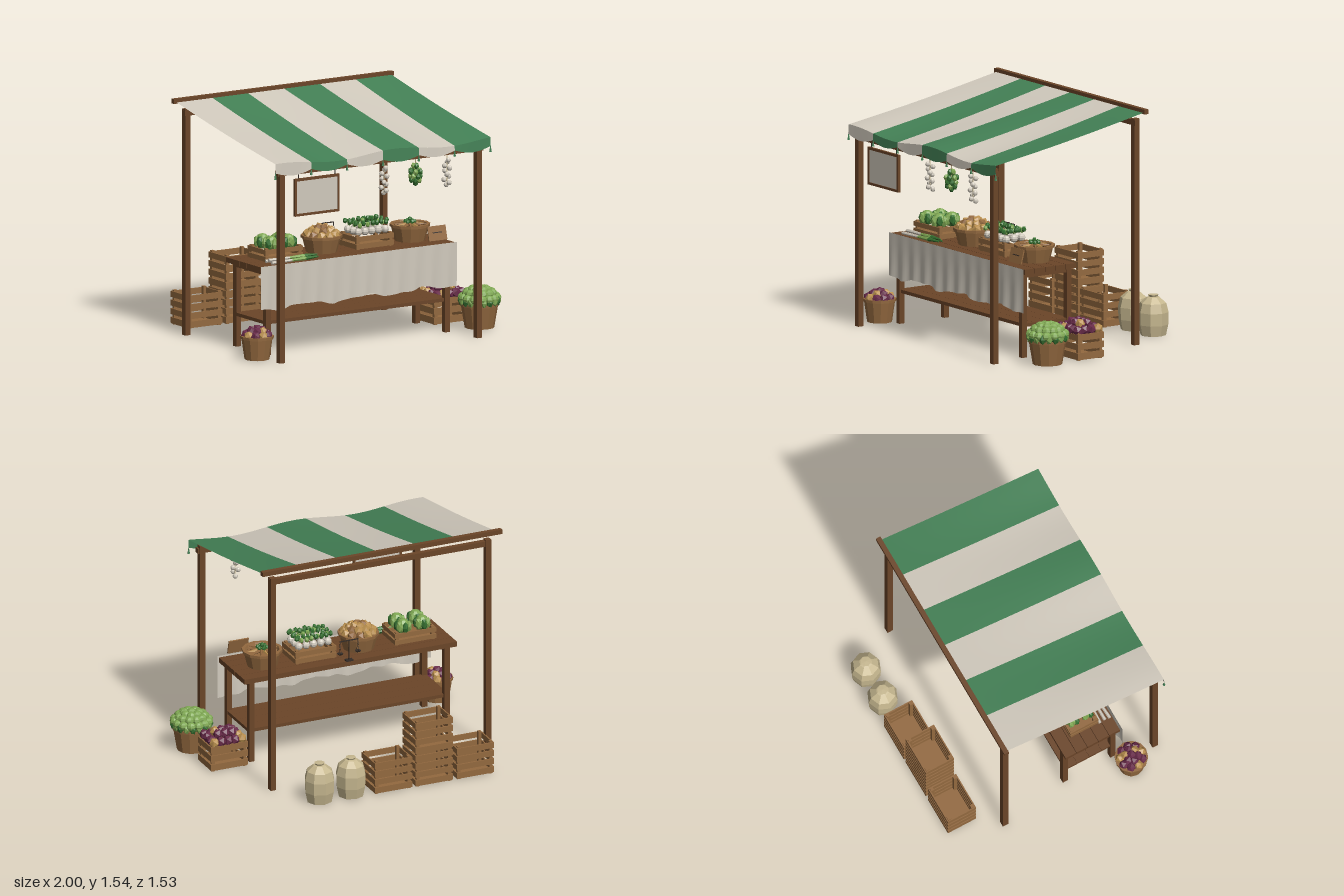
import * as THREE from 'three';

const mat = (name, color, side = THREE.FrontSide) => Object.assign(new THREE.MeshStandardMaterial({ color, side }), { name });

export function createModel() {
  const darkWood = mat('dark wood', 0x6b4528), lightWood = mat('light wood', 0x93693f);
  const cream = mat('cream cloth', 0xd0c9bc, THREE.DoubleSide), green = mat('awning green', 0x438055, THREE.DoubleSide);
  const burlap = mat('burlap', 0xc6b78f), leaf = mat('light leaf', 0x7fa853), deepLeaf = mat('deep leaf', 0x356f30);
  const purple = mat('beet purple', 0x672a48), potato = mat('potato', 0xb98f4e), metal = mat('dark metal', 0x332b26);

  const root = new THREE.Group();
  root.name = 'marketStall';
  let seed = 7;
  const rnd = () => (seed = (seed * 16807) % 2147483647) / 2147483647;

  // Faceted normals
  const flat = g => { const f = g.index ? g.toNonIndexed() : g; f.computeVertexNormals(); return f; };
  const add = (p, name, g, m, x = 0, y = 0, z = 0) => {
    const o = new THREE.Mesh(g, m);
    o.name = name;
    o.position.set(x, y, z);
    p.add(o);
    return o;
  };
  const box = (p, name, m, w, h, d, x, y, z) => add(p, name, new THREE.BoxGeometry(w, h, d), m, x, y, z);
  const group = (name, x, y, z, p = root) => {
    const g = new THREE.Group();
    g.name = name;
    g.position.set(x, y, z);
    p.add(g);
    return g;
  };
  const lathe = (pts, n) => flat(new THREE.LatheGeometry(pts.map(a => new THREE.Vector2(...a)), n));
  // Sheet of cloth whose points follow a rule of u and v
  const sheet = (p, name, m, nu, nv, rule) => {
    const g = new THREE.PlaneGeometry(1, 1, nu, nv), a = g.attributes.position, t = g.attributes.uv;
    for (let i = 0; i < a.count; i++) a.setXYZ(i, ...rule(t.getX(i), t.getY(i)));
    g.computeVertexNormals();
    return add(p, name, g, m);
  };

  const lump = new THREE.IcosahedronGeometry(1, 0), round = flat(new THREE.SphereGeometry(1, 8, 6));
  const spike = flat(new THREE.ConeGeometry(1, 1, 5));
  const blob = (p, name, g, m, s, x, y, z, sy = s) => {
    const o = add(p, name, g, m, x, y, z);
    o.scale.set(s, sy, s);
    o.rotation.y = rnd() * 6;
    return o;
  };

  // Frame of posts and beams
  const frame = group('frame', 0, 0, 0);
  for (const x of [-0.845, 0.663]) {
    box(frame, 'frontPost', darkWood, 0.038, 1.27, 0.04, x, 0.635, 0.71);
    box(frame, 'backPost', darkWood, 0.038, 1.473, 0.04, x, 0.7365, -0.386);
  }
  box(frame, 'frontBeam', darkWood, 1.57, 0.034, 0.034, -0.091, 1.235, 0.71);
  box(frame, 'backBeam', darkWood, 1.55, 0.036, 0.034, -0.091, 1.447, -0.386);
  box(frame, 'ridgeBar', darkWood, 1.68, 0.03, 0.032, -0.09, 1.525, -0.415);

  // Striped awning with a scalloped valance and tassels
  const awning = group('awning', 0, 0, 0), x0 = -0.91, sw = 0.274;
  const edge = x => 1.292 + 0.016 * Math.sin(x * 7.4 + 7.9);
  for (let i = 0; i < 6; i++) {
    const m = i % 2 ? green : cream, xs = u => x0 + (i + u) * sw;
    sheet(awning, 'awningStripe', m, 8, 8, (u, v) => [xs(u),
      1.518 + (edge(xs(u)) - 1.518) * (1 - v) - 0.008 * Math.sin(Math.PI * v), 0.747 - 1.147 * (1 - (1 - v))]);
    sheet(awning, 'valance', m, 8, 2, (u, v) => [xs(u),
      edge(xs(u)) * v + (1.246 - 0.026 * Math.sin(Math.PI * u)) * (1 - v), 0.747 + 0.004 * (1 - v)]);
  }
  for (let i = 0; i <= 6; i++) blob(awning, 'tassel', spike, green, 0.009, x0 + i * sw, 1.232, 0.748, 0.05);

  // Table with planked top and lower shelf
  const table = group('table', 0, 0, 0);
  for (let i = 0; i < 5; i++) box(table, 'topPlank', darkWood, 1.49, 0.033, 0.077, -0.094, 0.564, 0.106 + i * 0.08);
  for (let i = 0; i < 4; i++) box(table, 'shelfPlank', darkWood, 1.4, 0.022, 0.088, -0.088, 0.21, 0.135 + i * 0.089);
  for (const x of [-0.773, 0.596]) {
    for (const z of [0.093, 0.44]) box(table, 'tableLeg', darkWood, 0.036, 0.55, 0.038, x, 0.275, z);
    box(table, 'topBearer', darkWood, 0.03, 0.03, 0.34, x, 0.533, 0.267);
  }
  sheet(root, 'tableCloth', cream, 72, 4, (u, v) => [-0.845 + 1.5 * u,
    0.585 * v + (0.305 + 0.012 * Math.sin(u * 21 + 3) + 0.006 * Math.sin(u * 47)) * (1 - v),
    0.479 + (1 - v) * 0.008 * Math.sin(u * 75)]);

  // Slatted crate, origin at the middle of its base
  const crate = (name, x, y, z, w, h, d, n) => {
    const c = group(name, x, y, z), pitch = h / n, sh = pitch * 0.68;
    box(c, 'crateFloor', lightWood, w - 0.01, 0.012, d - 0.01, 0, 0.01, 0);
    for (const sx of [-1, 1]) {
      for (const sz of [-1, 1]) box(c, 'cornerPost', lightWood, 0.022, h, 0.022, sx * (w / 2 - 0.019), h / 2, sz * (d / 2 - 0.019));
      for (let i = 0; i < n; i++) {
        const sy = pitch * (i + 0.5);
        box(c, 'sideSlat', lightWood, 0.009, sh, d - 0.018, sx * (w / 2 - 0.0045), sy, 0);
        box(c, 'longSlat', lightWood, w, sh, 0.009, 0, sy, sx * (d / 2 - 0.0045));
      }
    }
    return c;
  };
  [-0.604, -0.315, -0.029].forEach(x => crate('emptyCrate', x, 0, -0.633, 0.262, 0.225, 0.206, 4));
  crate('stackedCrate', -0.315, 0.225, -0.633, 0.262, 0.225, 0.206, 4);

  // Tapered stave basket filled to just below the rim
  const basket = (name, x, y, z, rb, rt, h) => {
    const b = group(name, x, y, z);
    add(b, 'staves', lathe([[0, 0], [rb, 0], [rt, h], [rt - 0.012, h], [rt - 0.02, h * 0.8], [0, h * 0.8]], 12), lightWood);
    add(b, 'rim', lathe([[rt - 0.006, h - 0.016], [rt + 0.005, h - 0.016], [rt + 0.006, h + 0.002], [rt - 0.012, h + 0.002]], 12), lightWood);
    return b;
  };
  // Domed heap in rings: [count, radius, height]
  const heap = (p, name, g, mats, size, rings, tall = 1.15) => rings.forEach(([n, r, y], k) => {
    for (let i = 0; i < n; i++) {
      const a = (i + k * 0.5) / n * Math.PI * 2;
      blob(p, name, g, mats[Math.floor(rnd() * mats.length)], size, r * Math.sin(a), y, r * Math.cos(a), size * tall);
    }
  });

  // Sacks with tied necks
  for (const x of [0.24, 0.46]) {
    const s = group('sack', x, 0, -0.668);
    add(s, 'sackBody', lathe([[0, 0], [0.083, 0], [0.098, 0.07], [0.1, 0.15], [0.085, 0.21], [0.042, 0.246], [0.028, 0.25], [0.034, 0.262], [0, 0.264]], 8), burlap);
  }

  // Ground produce
  const beets = basket('beetBasket', -0.898, 0, 0.515, 0.08, 0.102, 0.15);
  heap(beets, 'beet', lump, [purple, purple, potato], 0.032, [[9, 0.072, 0.155], [6, 0.04, 0.177], [1, 0, 0.19]]);
  const sideCrate = crate('beetCrate', 0.775, 0, 0.127, 0.26, 0.18, 0.204, 3);
  for (let i = 0; i < 5; i++) for (let j = 0; j < 4; j++) {
    const mid = i > 0 && i < 4 && j > 0 && j < 3;
    blob(sideCrate, 'beet', lump, rnd() < 0.55 ? purple : potato, 0.033, (i - 2) * 0.048, mid ? 0.22 : 0.188, (j - 1.5) * 0.052, 0.038);
  }
  box(sideCrate, 'crateFill', lightWood, 0.235, 0.012, 0.18, 0, 0.155, 0);
  const tub = basket('cabbageTub', 0.858, 0, 0.432, 0.095, 0.122, 0.16);
  heap(tub, 'cabbageLeaf', round, [leaf], 0.034, [[14, 0.108, 0.196], [11, 0.08, 0.225], [7, 0.048, 0.243], [1, 0, 0.25]], 0.85);
  for (let i = 0; i < 18; i++) {
    const a = i / 18 * Math.PI * 2;
    blob(tub, 'outerLeaf', lump, i % 2 ? leaf : deepLeaf, 0.024, 0.117 * Math.sin(a), 0.178, 0.117 * Math.cos(a), 0.036);
  }

  // Lettuce crate
  const top = 0.582;
  const lettuces = crate('lettuceCrate', -0.591, top, 0.262, 0.288, 0.088, 0.205, 2);
  for (const x of [-0.066, 0.066]) for (const z of [-0.05, 0.05]) {
    blob(lettuces, 'lettuceHeart', round, leaf, 0.046, x, 0.11, z, 0.05);
    for (let i = 0; i < 6; i++) {
      const a = i / 6 * Math.PI * 2;
      blob(lettuces, 'lettuceLeaf', lump, i % 2 ? deepLeaf : leaf, 0.022, x + 0.037 * Math.sin(a), 0.108, z + 0.037 * Math.cos(a), 0.042);
    }
  }

  // Potato basket
  const potatoes = basket('potatoBasket', -0.228, top, 0.247, 0.1, 0.128, 0.108);
  heap(potatoes, 'potato', lump, [potato, potato, potato, lightWood], 0.033, [[11, 0.092, 0.11], [8, 0.06, 0.132], [4, 0.027, 0.148]]);

  // Turnip crate with leafy tops
  const turnips = crate('turnipCrate', 0.115, top, 0.247, 0.288, 0.092, 0.205, 2);
  for (let i = 0; i < 5; i++) for (let j = 0; j < 3; j++) {
    const x = (i - 2) * 0.051, z = (j - 1) * 0.06, y = 0.108 + (j === 1 && i % 4 ? 0.018 : 0);
    blob(turnips, 'turnip', round, cream, 0.026, x, y, z);
    for (let k = 0; k < 3; k++) {
      const a = k * 2.1 + i;
      blob(turnips, 'turnipLeaf', lump, k ? deepLeaf : leaf, 0.016, x + 0.018 * Math.sin(a), y + 0.044 + k * 0.006, z + 0.018 * Math.cos(a), 0.02);
    }
  }

  // Root basket with a leafy middle
  const roots = basket('rootBasket', 0.447, top, 0.247, 0.098, 0.125, 0.108);
  for (let i = 0; i < 12; i++) {
    const a = i / 12 * Math.PI * 2, o = blob(roots, 'root', spike, i % 3 ? lightWood : potato, 0.017, 0.06 * Math.sin(a), 0.104, 0.06 * Math.cos(a), 0.1);
    o.rotation.set(Math.PI / 2, a, 0, 'YXZ');
  }
  heap(roots, 'rootLeaf', lump, [deepLeaf], 0.015, [[6, 0.028, 0.122], [1, 0, 0.137]]);

  // Leaning price board
  const price = group('priceBoard', 0.527, 0.65, 0.442);
  price.rotation.x = -0.25;
  box(price, 'boardPanel', lightWood, 0.138, 0.095, 0.009, 0, 0, 0);
  box(price, 'boardMark', metal, 0.07, 0.006, 0.003, 0, 0.004, 0.005);

  // Leeks lying on the table
  for (let i = 0; i < 3; i++) {
    const l = group('leek', -0.56, 0.594 + (i === 1 ? 0.012 : 0), 0.385 + i * 0.025);
    l.rotation.y = (i - 1) * 0.06;
    const rod = (name, m, r1, r2, len, x) => { add(l, name, flat(new THREE.CylinderGeometry(r1, r2, len, 6)), m, x).rotation.z = -Math.PI / 2; };
    rod('leekStem', cream, 0.009, 0.011, 0.16, -0.1);
    rod('leekGreen', leaf, 0.013, 0.009, 0.11, 0.035);
    rod('leekTip', deepLeaf, 0.005, 0.014, 0.1, 0.14);
  }

  // Balance scale
  const scale = group('balanceScale', -0.085, top, 0.075), thin = 0.006;
  box(scale, 'scaleBase', metal, 0.05, 0.008, 0.035, 0, 0.004, 0);
  box(scale, 'scalePole', metal, thin, 0.14, thin, 0, 0.075, 0);
  box(scale, 'scaleArm', metal, 0.13, thin, thin, 0, 0.14, 0);
  for (const s of [-1, 1]) {
    add(scale, 'scalePan', flat(new THREE.CylinderGeometry(0.021, 0.013, 0.008, 8)), metal, s * 0.062, 0.055, 0);
    for (const t of [-1, 1]) box(scale, 'panCord', metal, 0.002, 0.084, 0.002, s * 0.062, 0.098, t * 0.009).rotation.x = -t * 0.21;
  }

  // Hanging sign
  const sign = group('hangingSign', -0.57, 1.063, 0.71);
  box(sign, 'signPanel', cream, 0.32, 0.225, 0.009, 0, 0, 0);
  for (const s of [-1, 1]) {
    box(sign, 'signRail', darkWood, 0.34, 0.016, 0.018, 0, s * 0.114, 0);
    box(sign, 'signStile', darkWood, 0.014, 0.24, 0.018, s * 0.163, 0, 0);
    box(sign, 'signCord', metal, 0.004, 0.045, 0.004, s * 0.14, 0.14, 0);
  }

  // Garlic braids and a herb bunch hanging from the front beam
  for (const x of [-0.055, 0.425]) {
    const g = group('garlicBraid', x, 1.22, 0.71);
    box(g, 'cord', burlap, 0.005, 0.2, 0.005, 0, -0.1, 0);
    for (let i = 0; i < 10; i++) {
      const a = i * 2.4;
      blob(g, 'garlicBulb', round, cream, 0.017, 0.018 * Math.sin(a), -0.035 - i * 0.0185, 0.018 * Math.cos(a));
    }
  }
  const herbs = group('herbBunch', 0.185, 1.22, 0.71);
  box(herbs, 'cord', burlap, 0.005, 0.1, 0.005, 0, -0.05, 0);
  heap(herbs, 'herbLeaf', lump, [deepLeaf, leaf], 0.018, [[3, 0.012, -0.05], [6, 0.034, -0.085], [6, 0.03, -0.115], [5, 0.026, -0.14], [1, 0, -0.16]], 1.3);

  return root;
}
